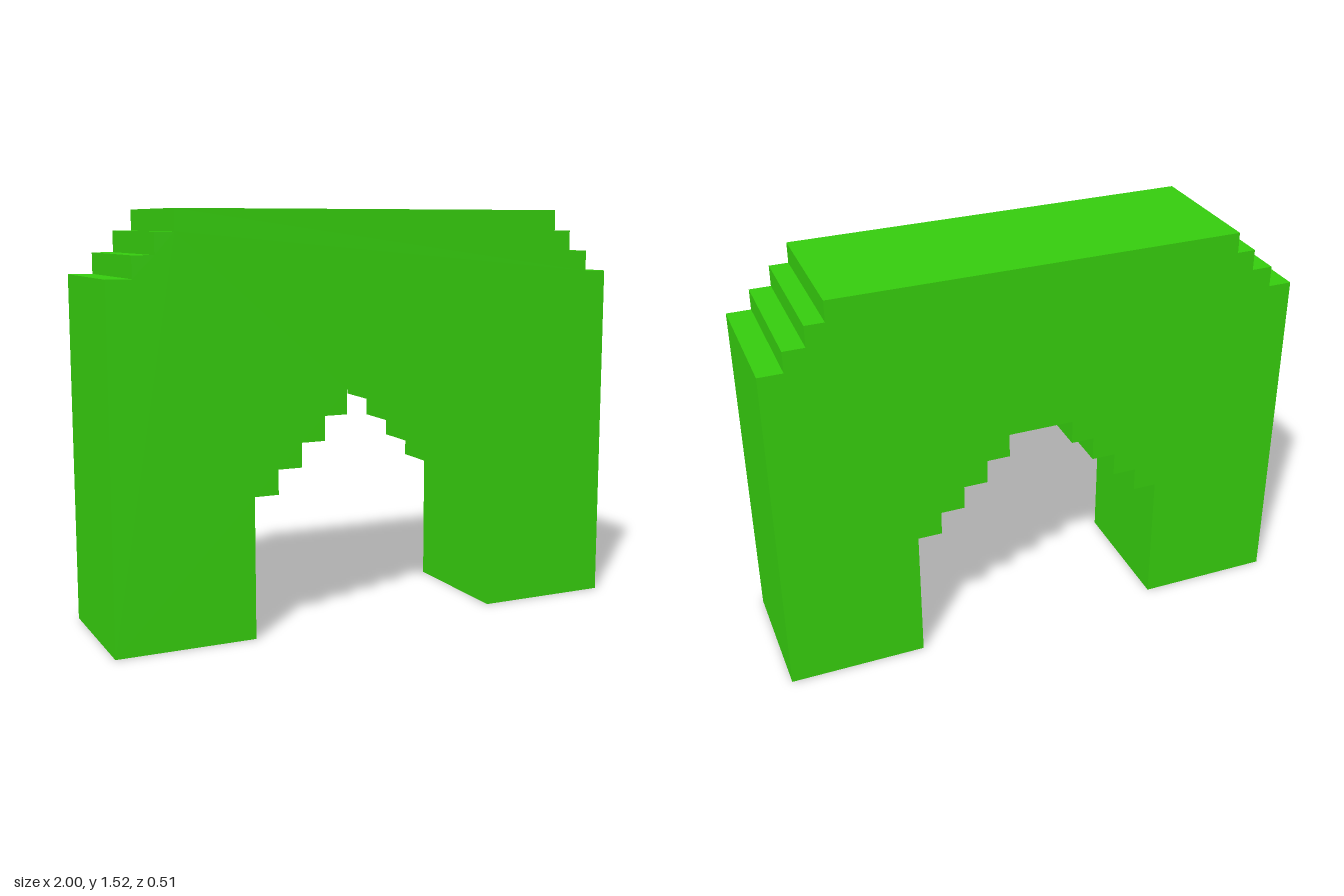
import * as THREE from 'three';

const DEPTH = 0.515;

// Right half of the outline, from the crown of the opening round to the top
const inner = [[0.124, 0.882], [0.211, 0.791], [0.302, 0.7], [0.393, 0.61], [0.484, 0.519]];
const outer = [[1, 1.292], [0.91, 1.37], [0.831, 1.448], [0.761, 1.525]];

function halfOutline() {
  const points = [];
  // Underside steps: each tread ends in a drop to the next one
  inner.forEach(([x, y], i) => {
    points.push([x, y], [x, i + 1 < inner.length ? inner[i + 1][1] : 0]);
  });
  // Shoulder steps: each riser ends in a tread going inward
  outer.forEach(([x, y], i) => {
    points.push([x, i ? outer[i - 1][1] : 0], [x, y]);
  });
  return points;
}

export function createModel() {
  const model = new THREE.Group();
  model.name = 'steppedArch';

  const green = new THREE.MeshStandardMaterial({ color: 0x35cb0d });
  green.name = 'green';

  // Mirror the half outline to close the arch
  const right = halfOutline();
  const left = right.map(([x, y]) => [-x, y]).reverse();
  const shape = new THREE.Shape([...right, ...left].map(([x, y]) => new THREE.Vector2(x, y)));

  const geometry = new THREE.ExtrudeGeometry(shape, { depth: DEPTH, bevelEnabled: false });
  geometry.translate(0, 0, -DEPTH / 2);

  const arch = new THREE.Mesh(geometry, green);
  arch.name = 'archBlock';
  model.add(arch);
  return model;
}
